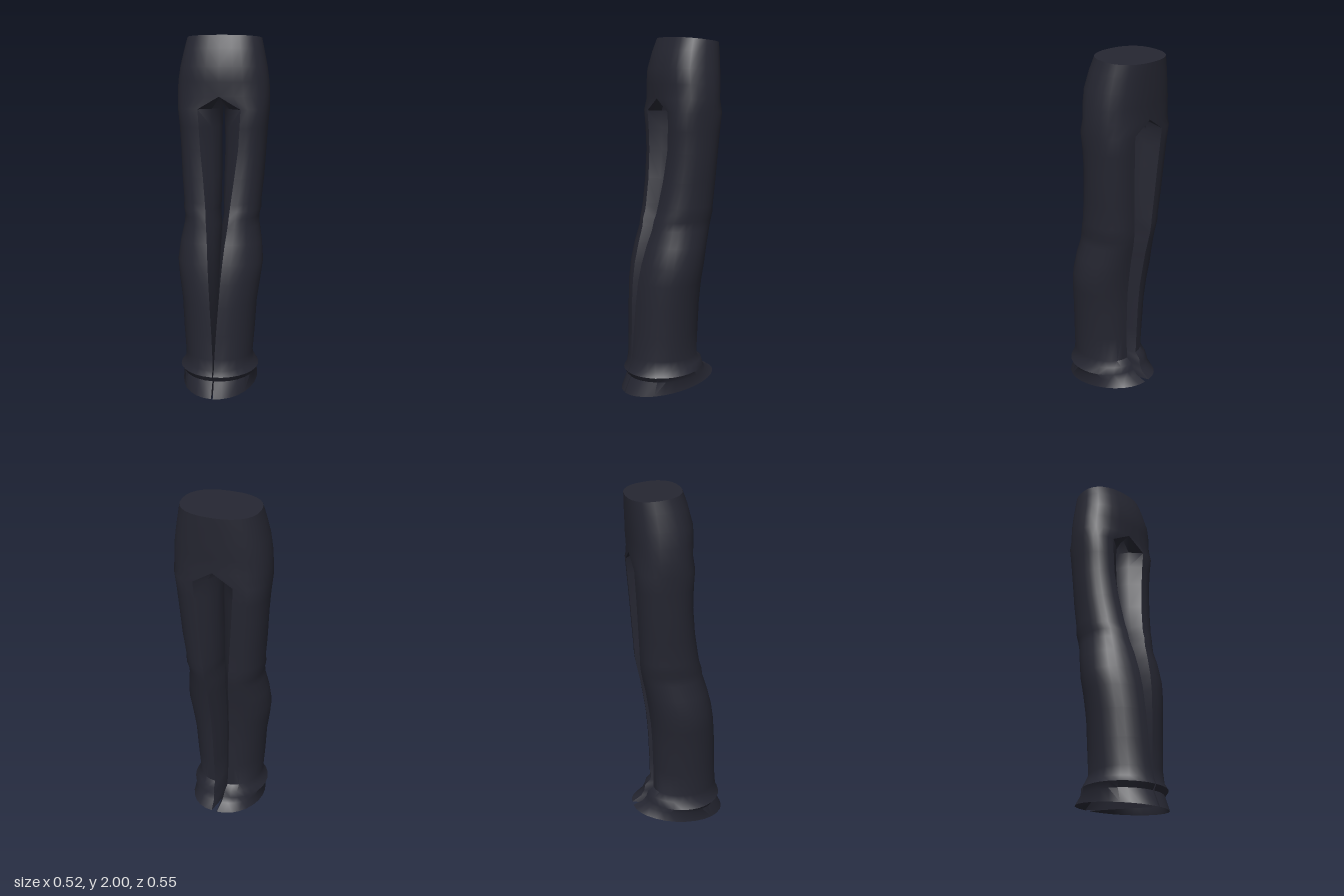
import * as THREE from 'three';
import { toCreasedNormals } from 'three/addons/utils/BufferGeometryUtils.js';

const OUTER = 14; // segments around the outside of each half
const INNER = 6;  // segments across the inner leg panel

// Sections from waist to hem:
// y, tilt, outer x, front z, back z, front seam x, back seam x, inner x, roundness
const TORSO = [
  [1.985, -0.015, 0.210, 0.020, -0.270, 0, 0, 0, 0.85],
  [1.92, -0.008, 0.225, 0.045, -0.269, 0, 0, 0, 0.82],
  [1.83, 0, 0.244, 0.070, -0.266, 0, 0, 0, 0.8],
  [1.75, 0, 0.256, 0.072, -0.264, 0, 0, 0, 0.8],
  [1.67, 0, 0.261, 0.068, -0.259, 0, 0, 0, 0.8],
];
const LEG = [
  [1.60, 0, 0.260, 0.064, -0.254, 0.120, 0.110, 0.003, 0.85],
  [1.50, 0, 0.250, 0.060, -0.248, 0.114, 0.104, 0.007, 0.87],
  [1.38, 0, 0.243, 0.060, -0.241, 0.107, 0.096, 0.009, 0.9],
  [1.22, 0, 0.234, 0.076, -0.233, 0.088, 0.085, 0.008, 0.9],
  [1.08, 0, 0.220, 0.100, -0.226, 0.072, 0.075, 0.008, 0.9],
  [1.04, 0, 0.222, 0.108, -0.225, 0.068, 0.072, 0.011, 0.9],
  [1.00, 0, 0.211, 0.122, -0.221, 0.065, 0.070, 0.012, 0.92],
  [0.95, 0, 0.215, 0.130, -0.212, 0.060, 0.066, 0.004, 0.95],
  [0.86, 0, 0.232, 0.160, -0.194, 0.050, 0.062, 0.004, 0.97],
  [0.75, 0, 0.244, 0.189, -0.178, 0.041, 0.058, 0.002, 1],
  [0.65, 0, 0.232, 0.206, -0.165, 0.033, 0.054, 0.002, 1],
  [0.52, 0, 0.213, 0.217, -0.157, 0.024, 0.050, 0.002, 1],
  [0.36, 0, 0.204, 0.225, -0.153, 0.013, 0.046, 0.002, 1],
  [0.21, -0.005, 0.192, 0.233, -0.152, 0.005, 0.040, 0.002, 1],
];
const CUFF = [
  [0.165, 0.012, 0.198, 0.243, -0.185, 0.004, 0.035, 0.002, 1],
  [0.130, 0.008, 0.224, 0.258, -0.195, 0.003, 0.030, 0.002, 1],
  [0.100, 0.008, 0.209, 0.240, -0.215, 0.004, 0.025, 0.002, 1],
  [0.040, 0.038, 0.214, 0.280, -0.273, 0.005, 0.016, 0.002, 1],
];

// One half section: seam, round the outside, then back across the inner panel
function section([y, tilt, xo, zf, zb, xf, xb, xi, e], side) {
  const mid = (zf + zb) / 2, half = (zf - zb) / 2, ring = [];
  const add = (x, w) => ring.push([side * x, y - tilt * w, mid + half * w]);
  for (let j = 0; j <= OUTER; j++) {
    const t = j / OUTER, a = Math.PI * t, c = Math.cos(a);
    const seam = c > 0 ? xf : xb;
    add(seam + (xo - seam) * Math.pow(Math.abs(Math.sin(a)), e),
      Math.sign(c) * Math.pow(Math.abs(c), e));
  }
  for (let j = 1; j <= INNER; j++) {
    const t = j / INNER, seam = xb + (xf - xb) * t;
    add(seam + (xi - seam) * Math.pow(Math.abs(Math.sin(Math.PI * t)), 0.75), -1 + 2 * t);
  }
  return ring;
}

// Join successive sections into a skin
function skin(rows, sides, closed) {
  const p = [];
  for (const side of sides) {
    const rings = rows.map((r) => section(r, side));
    const n = closed ? OUTER + INNER : OUTER;
    for (let i = 0; i + 1 < rings.length; i++) {
      for (let j = 0; j < n; j++) {
        const a = rings[i][j], b = rings[i][j + 1];
        const c = rings[i + 1][j], d = rings[i + 1][j + 1];
        if (side > 0) p.push(...a, ...c, ...b, ...b, ...c, ...d);
        else p.push(...a, ...b, ...c, ...b, ...d, ...c);
      }
    }
  }
  return p;
}

// Crotch: inner panel folding up into the bottom of the torso on each side
function crotch() {
  const p = [];
  for (const side of [1, -1]) {
    const top = section(TORSO[TORSO.length - 1], side), low = section(LEG[0], side);
    for (let j = OUTER; j < OUTER + INNER; j++) {
      const [a, b, c, d] = [top[j], top[j + 1], low[j], low[j + 1]];
      if (side > 0) p.push(...a, ...c, ...b, ...b, ...c, ...d);
      else p.push(...a, ...b, ...c, ...b, ...d, ...c);
    }
  }
  return p;
}

// Flat cover over the waist opening
function waist() {
  const p = [], mid = [0, 1.985, -0.125];
  for (const side of [1, -1]) {
    const r = section(TORSO[0], side);
    for (let j = 0; j < OUTER; j++) {
      if (side > 0) p.push(...mid, ...r[j], ...r[j + 1]);
      else p.push(...mid, ...r[j + 1], ...r[j]);
    }
  }
  return p;
}

export function createModel() {
  const cloth = new THREE.MeshStandardMaterial({ color: 0x252631, side: THREE.DoubleSide });
  cloth.name = 'dark navy cloth';
  const model = new THREE.Group();
  model.name = 'trousers';

  const add = (name, points) => {
    const g = new THREE.BufferGeometry();
    g.setAttribute('position', new THREE.Float32BufferAttribute(points, 3));
    const mesh = new THREE.Mesh(toCreasedNormals(g, 0.75), cloth);
    mesh.name = name;
    model.add(mesh);
  };

  // Hips and legs share one skin so the cloth stays smooth between them
  const hips = skin([...TORSO, LEG[0]], [1, -1], false);
  const legs = skin([...LEG, ...CUFF], [1, -1], true);
  add('hipsAndLegs', [...hips, ...crotch(), ...legs]);
  add('waistCover', waist());
  return model;
}
